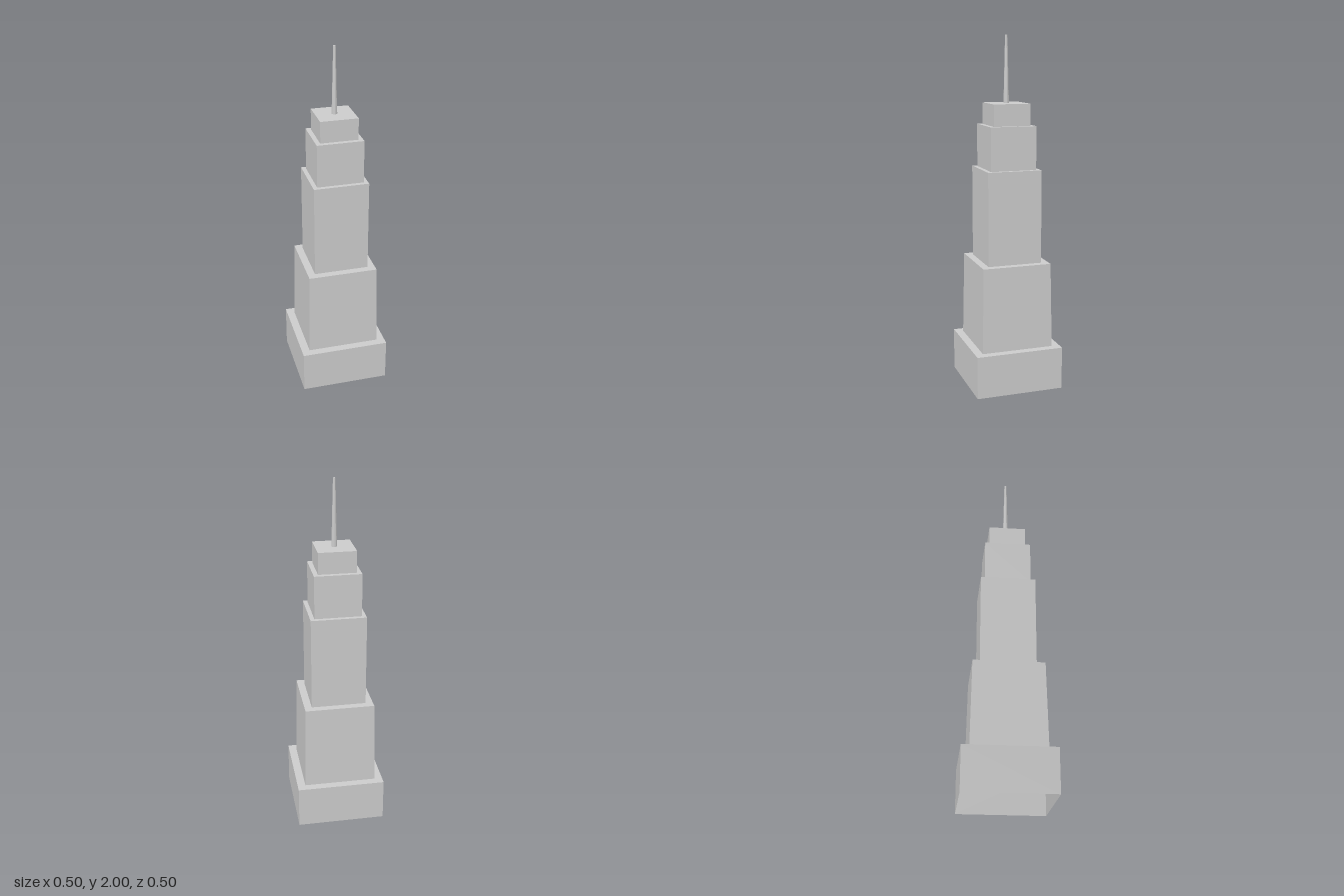
import * as THREE from 'three';

const material = new THREE.MeshStandardMaterial({
  color: 0xcccccc, flatShading: true, side: THREE.DoubleSide,
});

// Each tier: [name, bottom y, top y, half width at bottom, half width at top]
const TIERS = [
  ['base', 0, 0.244, 0.2525, 0.2525],
  ['taperedTier', 0.244, 0.731, 0.207, 0.198],
  ['mainShaft', 0.731, 1.261, 0.156, 0.156],
  ['upperTier', 1.261, 1.505, 0.132, 0.132],
  ['crown', 1.505, 1.627, 0.106, 0.106],
];

// Square shell turned from a profile of [half width, y] points
function squareShell(name, profile) {
  const points = profile.map(([h, y]) => new THREE.Vector2(h * Math.SQRT2, y));
  const mesh = new THREE.Mesh(new THREE.LatheGeometry(points, 4, Math.PI / 4), material);
  mesh.name = name;
  return mesh;
}

export function createModel() {
  const tower = new THREE.Group();
  tower.name = 'steppedTower';

  // Hollow tiers, open underneath; each roof ledge runs in to the foot of the next tier
  TIERS.forEach(([name, y0, y1, h0, h1], i) => {
    const inner = i < TIERS.length - 1 ? TIERS[i + 1][3] : 0;
    tower.add(squareShell(name, [[h0, y0], [h1, y1], [inner, y1]]));
  });

  // Tapered mast on the crown roof
  const roof = TIERS[TIERS.length - 1][2];
  const mast = new THREE.Mesh(new THREE.CylinderGeometry(0.007, 0.016, 2 - roof, 12), material);
  mast.name = 'mast';
  mast.position.y = (2 + roof) / 2;
  tower.add(mast);

  return tower;
}
